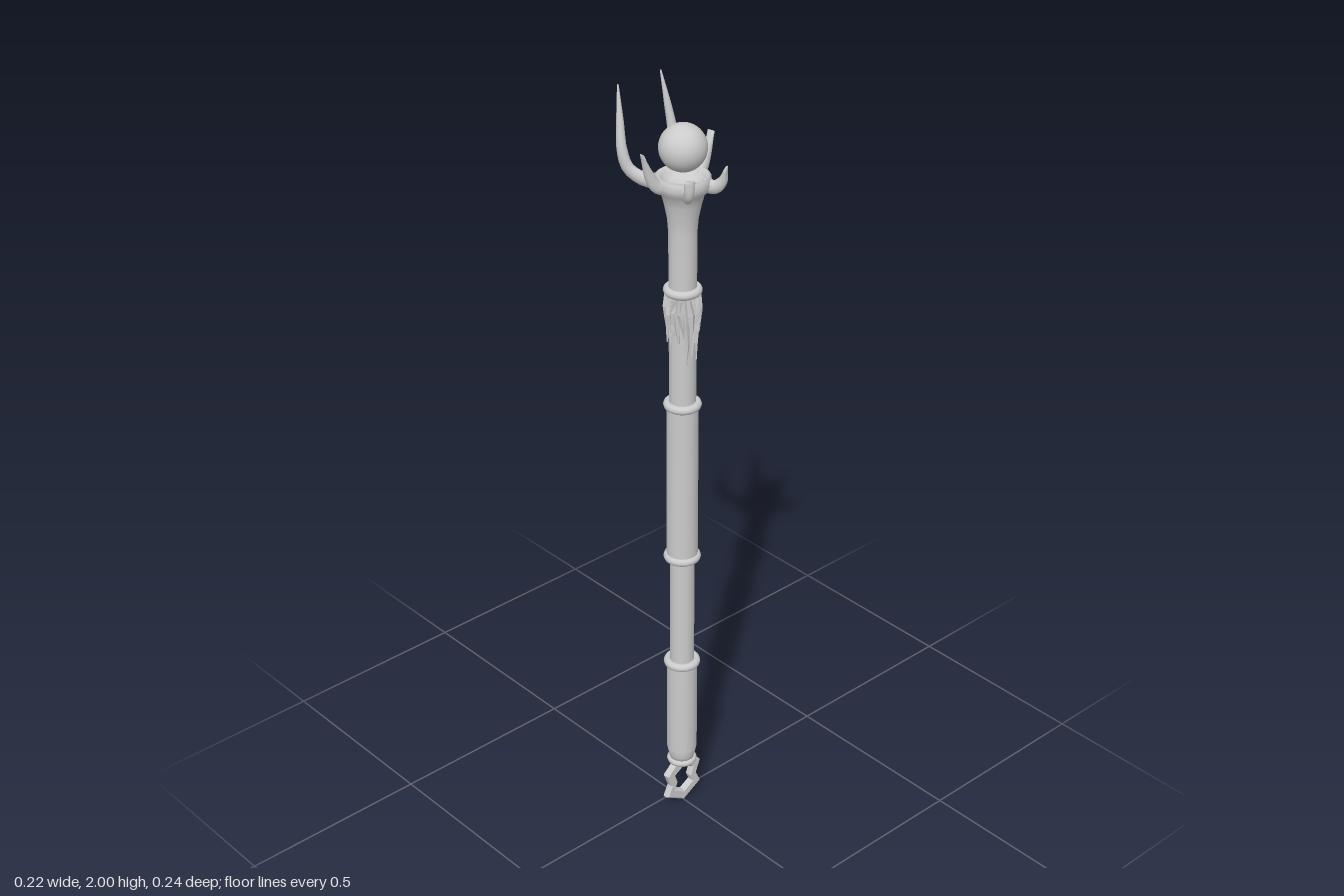
import * as THREE from 'three';

const AXIS_Z = 0.03;
const mat = new THREE.MeshStandardMaterial({ color: 0xcccccc });
const thinMat = new THREE.MeshStandardMaterial({ color: 0xcccccc, side: THREE.DoubleSide });
const V = (x, y, z) => new THREE.Vector3(x, y, z);

function add(group, name, geometry, material = mat) {
  const mesh = new THREE.Mesh(geometry, material);
  mesh.name = name;
  group.add(mesh);
  return mesh;
}

function lathe(points, segments = 24) {
  return new THREE.LatheGeometry(points.map(([r, y]) => new THREE.Vector2(r, y)), segments);
}

// Tapered claw: oval sections along a curve; sizes are [half width, half thickness]
function clawGeometry(points, sizes, steps = 14, sides = 10) {
  const curve = new THREE.CatmullRomCurve3(points);
  const first = points[0], last = points[points.length - 1];
  const across = V(last.z - first.z, 0, first.x - last.x).normalize();
  const pos = [], index = [];
  for (let i = 0; i <= steps; i++) {
    const t = i / steps, c = curve.getPoint(t);
    const out = curve.getTangent(t).cross(across).normalize();
    const k = Math.min(t * (sizes.length - 1), sizes.length - 1.001), j = Math.floor(k);
    const w = THREE.MathUtils.lerp(sizes[j][0], sizes[j + 1][0], k - j);
    const d = THREE.MathUtils.lerp(sizes[j][1], sizes[j + 1][1], k - j);
    for (let s = 0; s < sides; s++) {
      const a = s / sides * Math.PI * 2;
      const p = c.clone().addScaledVector(across, Math.cos(a) * w).addScaledVector(out, Math.sin(a) * d);
      pos.push(p.x, p.y, p.z);
      if (i < steps) {
        const q = i * sides + s, r = i * sides + (s + 1) % sides;
        index.push(q, r, q + sides, r, r + sides, q + sides);
      }
    }
  }
  for (let s = 1; s < sides - 1; s++) {
    const e = steps * sides;
    index.push(e, e + s, e + s + 1);
  }
  const g = new THREE.BufferGeometry();
  g.setAttribute('position', new THREE.Float32BufferAttribute(pos, 3));
  g.setIndex(index);
  g.computeVertexNormals();
  return g;
}

// Ragged pointed strip wrapped on the shaft
function shardGeometry(angle, width, top, length, radius) {
  const rows = [[0, 0.8, 0], [0.35, 1, 0.005], [0.7, 0.6, 0.003], [1, 0.03, 0.001]];
  const pos = [], index = [];
  rows.forEach(([t, w, lift], i) => {
    [-1, 0, 1].forEach((s) => {
      const a = angle + (s * w * width) / radius + 0.12 * Math.sin(t * 4 + angle * 3);
      const r = radius + lift + (s === 0 ? 0.005 * (1 - t) : -0.003);
      pos.push(Math.sin(a) * r, top - t * length, Math.cos(a) * r);
    });
    if (i < rows.length - 1) for (let s = 0; s < 2; s++) {
      const q = i * 3 + s;
      index.push(q, q + 3, q + 1, q + 1, q + 3, q + 4);
    }
  });
  const g = new THREE.BufferGeometry();
  g.setAttribute('position', new THREE.Float32BufferAttribute(pos, 3));
  g.setIndex(index);
  const flat = g.toNonIndexed();
  flat.computeVertexNormals();
  return flat;
}

export function createModel() {
  const model = new THREE.Group();
  model.name = 'staff';
  const core = new THREE.Group();
  core.name = 'core';
  core.position.z = AXIS_Z;
  model.add(core);

  // Shaft sections of alternating thickness
  add(core, 'lowerGrip', lathe([[0, 0.14], [0.03, 0.14], [0.034, 0.155], [0.039, 0.18], [0.039, 0.45]]));
  add(core, 'lowerShaft', lathe([[0.031, 0.44], [0.031, 0.78]]));
  add(core, 'upperGrip', lathe([[0.039, 0.765], [0.039, 1.21]]));
  add(core, 'upperShaft', lathe([[0.033, 1.2], [0.033, 1.52]]));

  // Rounded bands
  for (const y of [0.45, 0.772, 1.207, 1.515]) {
    add(core, 'band', new THREE.TorusGeometry(0.036, 0.011, 10, 28).rotateX(Math.PI / 2)).position.y = y;
  }
  add(core, 'pommelBand', new THREE.TorusGeometry(0.03, 0.009, 8, 24).rotateX(Math.PI / 2)).position.y = 0.137;
  add(core, 'pommelCap', new THREE.CylinderGeometry(0.033, 0.03, 0.016, 24)).position.y = 0.137;

  // Flared head with a hollow cup
  add(core, 'head', lathe([
    [0.034, 1.5], [0.034, 1.66], [0.037, 1.7], [0.045, 1.74], [0.052, 1.765], [0.063, 1.775],
    [0.067, 1.79], [0.065, 1.806], [0.058, 1.81], [0.052, 1.802], [0.035, 1.785], [0, 1.78],
  ], 20));

  // Orb
  add(core, 'orb', new THREE.SphereGeometry(0.057, 32, 20)).position.y = 1.875;

  // Ragged fringe hanging below the top band, longest at the front
  const fringe = new THREE.Group();
  fringe.name = 'fringe';
  core.add(fringe);
  for (let layer = 0; layer < 2; layer++) {
    for (let i = 0; i < 12; i++) {
      const a = (i + layer * 0.5) / 12 * Math.PI * 2;
      const vary = 0.5 + 0.5 * Math.sin(i * 2.4 + layer);
      const length = 0.085 + 0.035 * vary + (layer ? 0 : 0.035 * (1 + Math.cos(a)));
      add(fringe, 'fringeStrip', shardGeometry(a, 0.009, 1.512 - layer * 0.01, length, 0.035 + layer * 0.004), thinMat);
    }
  }

  // Three claws on each side
  for (const s of [1, -1]) {
    const claw = (name, pts, sizes) =>
      add(model, name, clawGeometry(pts.map(([x, y, z]) => V(s * x, y, z)), sizes));
    const side = s > 0 ? 'left' : 'right';
    claw(side + 'FrontClaw',
      [[0.028, 1.788, 0.07], [0.042, 1.785, 0.092], [0.051, 1.8, 0.106], [0.056, 1.835, 0.114]],
      [[0.016, 0.018], [0.012, 0.017], [0.012, 0.013], [0.013, 0.003]]);
    claw(side + 'SideClaw',
      [[0.045, 1.785, 0.021], [0.07, 1.795, 0.018], [0.089, 1.828, 0.013], [0.106, 1.88, 0.01]],
      [[0.016, 0.018], [0.011, 0.016], [0.011, 0.012], [0.01, 0.002]]);
    claw(side + 'BackClaw',
      [[0.028, 1.785, -0.015], [0.046, 1.783, -0.05], [0.068, 1.806, -0.08],
        [0.078, 1.85, -0.091], [0.073, 1.92, -0.103], [0.065, 2.0, -0.118]],
      [[0.017, 0.019], [0.013, 0.018], [0.013, 0.016], [0.013, 0.013], [0.009, 0.009], [0.002, 0.002]]);
  }

  // Pinched hexagonal loop at the foot
  const mirrored = (half) => [...half, ...half.slice().reverse().filter(([x]) => x > 0).map(([x, y]) => [-x, y])]
    .map(([x, y]) => new THREE.Vector2(x, y));
  const loop = new THREE.Shape(mirrored([[0, 0.004], [0.054, 0.036], [0.04, 0.066], [0.054, 0.102], [0.024, 0.13]]));
  loop.holes.push(new THREE.Path(mirrored([[0, 0.026], [0.034, 0.046], [0.025, 0.068], [0.034, 0.095], [0, 0.116]])));
  add(core, 'footLoop', new THREE.ExtrudeGeometry(loop, {
    depth: 0.012, bevelEnabled: true, bevelThickness: 0.004, bevelSize: 0.004, bevelOffset: 0, bevelSegments: 1,
  })).position.z = -0.006;

  return model;
}
